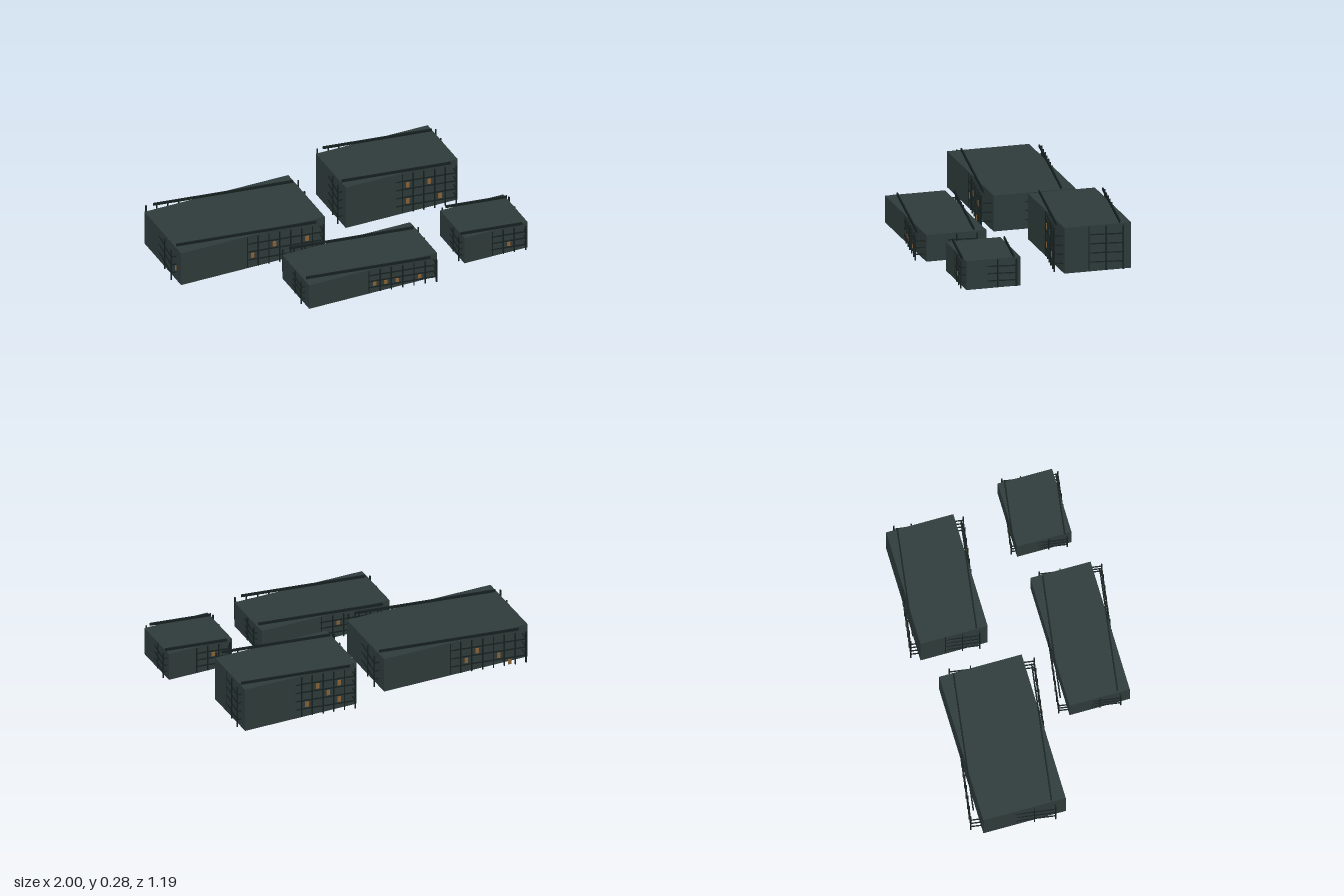
import * as THREE from 'three';

const TURN = -0.145; // the facade frames are twisted against the blocks

export function createModel() {
  const mat = (name, color) => {
    const m = new THREE.MeshStandardMaterial({ color });
    m.name = name;
    return m;
  };
  const wall = mat('dark green wall', 0x2e3c3b);
  const trim = mat('black green trim', 0x162020);
  const amber = mat('amber window', 0x8a6236);

  const box = (parent, name, material, size, pos) => {
    const m = new THREE.Mesh(new THREE.BoxGeometry(...size), material);
    m.name = name;
    m.position.set(...pos);
    parent.add(m);
  };

  // one facade in its own plane: fins, floor rails and lit windows
  function facade(name, length, height, floors, bays, lit) {
    const g = new THREE.Group();
    g.name = name;
    const step = length / bays, floor = height / floors;
    for (let i = 0; i <= bays; i++)
      box(g, 'fin', trim, [0.006, height - 0.01, 0.008], [-length / 2 + i * step, height / 2, 0]);
    for (let j = 1; j < floors; j++)
      box(g, 'floorRail', trim, [length, 0.006, 0.006], [0, j * floor, 0]);
    for (const [bay, level] of lit)
      box(g, 'litWindow', amber, [0.02, floor * 0.6, 0.005],
        [-length / 2 + (bay + 0.5) * step, (level + 0.5) * floor, 0]);
    return g;
  }

  function building(name, { x, z, w, d, h, floors, front, back }) {
    const g = new THREE.Group();
    g.name = name;
    g.position.set(x, 0, z);
    box(g, 'block', wall, [w, h, d], [0, h / 2, 0]);

    const frame = new THREE.Group();
    frame.name = 'facadeFrame';
    frame.rotation.y = TURN;
    g.add(frame);
    const long = Math.round(w / 0.066), short = Math.round(d / 0.11);
    // front, left, back and right facades
    const sides = [
      ['frontFacade', w, d, long, front], ['leftFacade', d, w, short, []],
      ['backFacade', w, d, long, back], ['rightFacade', d, w, short, []],
    ];
    sides.forEach(([label, length, across, bays, lit], i) => {
      const f = facade(label, length, h, floors, bays, lit);
      const a = i * Math.PI / 2;
      f.rotation.y = a;
      f.position.set(Math.sin(a) * across / 2, 0, Math.cos(a) * across / 2);
      frame.add(f);
    });
    // roof parapets along the two long edges
    for (const s of [-1, 1])
      box(frame, 'parapet', trim, [w * 0.92, 0.015, 0.008], [0, h + 0.0075, s * d * 0.46]);
    return g;
  }

  const model = new THREE.Group();
  model.name = 'buildingCluster';
  model.add(
    building('wideBuilding', {
      x: -0.52, z: -0.247, w: 0.9, d: 0.485, h: 0.212, floors: 4,
      front: [[0, 1], [7, 1], [9, 2], [11, 0], [12, 2]],
      back: [[8, 1], [9, 2], [11, 1], [12, 0]],
    }),
    building('tallBuilding', {
      x: 0.478, z: -0.345, w: 0.7, d: 0.395, h: 0.27, floors: 5,
      front: [[6, 3], [6, 1], [8, 3], [9, 1]],
      back: [[6, 1], [7, 3], [8, 2], [9, 1], [9, 3]],
    }),
    building('longBuilding', {
      x: -0.022, z: 0.353, w: 0.8, d: 0.355, h: 0.157, floors: 4,
      front: [[6, 1], [7, 1], [8, 1], [10, 1]],
      back: [[7, 2], [9, 1], [10, 2]],
    }),
    building('smallBuilding', {
      x: 0.773, z: 0.315, w: 0.395, d: 0.32, h: 0.17, floors: 4,
      front: [[4, 1]],
      back: [[4, 2], [5, 1]],
    }),
  );
  return model;
}
